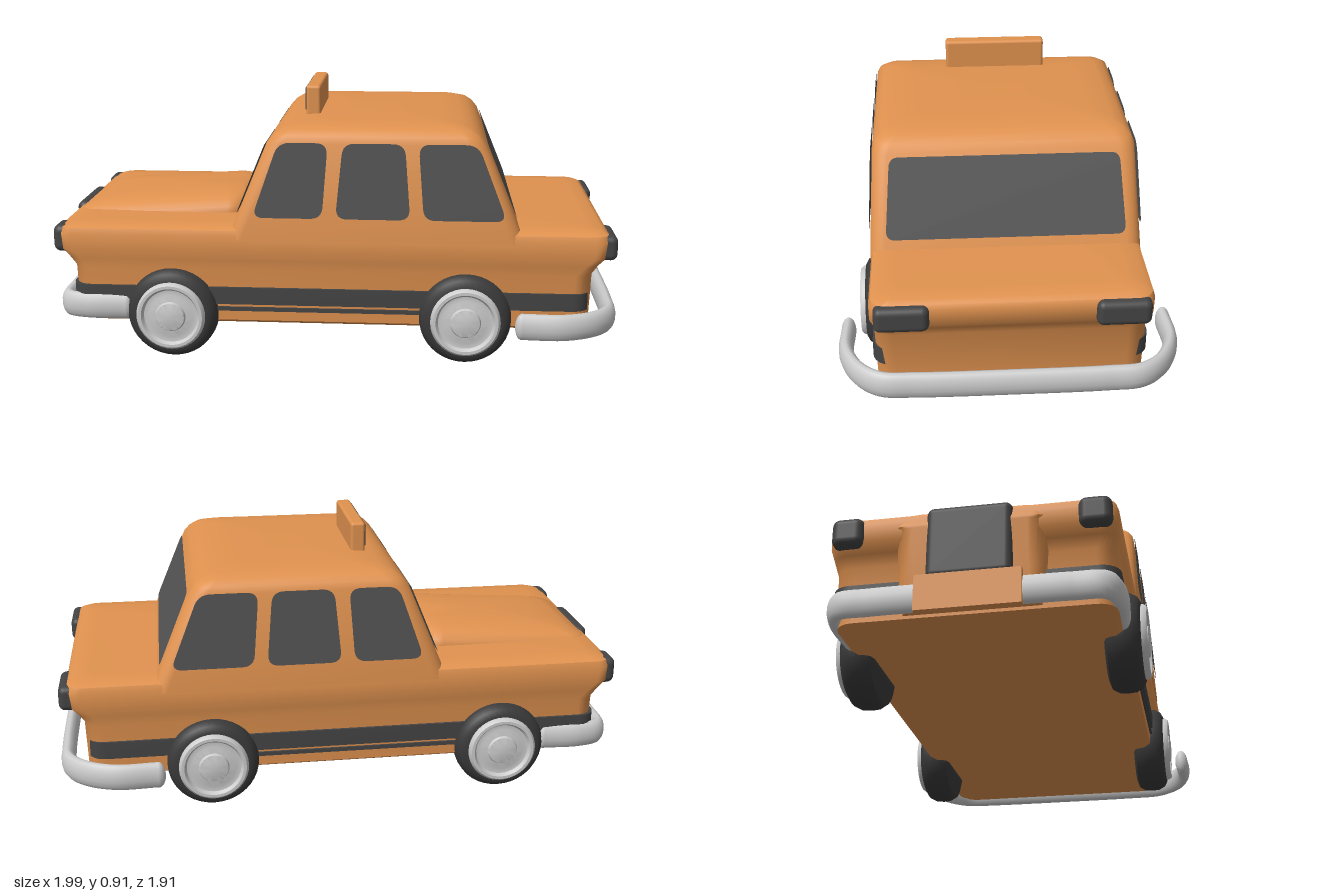
import * as THREE from 'three';
import { toCreasedNormals } from 'three/addons/utils/BufferGeometryUtils.js';
import { RoundedBoxGeometry } from 'three/addons/geometries/RoundedBoxGeometry.js';

const mat = (color, side = THREE.FrontSide) => new THREE.MeshStandardMaterial({ color, side });

// Solid from rounded-rectangle layers: [y, half width, front z, rear z, corner radius]
function stack(layers, bend = (x, y, z) => y) {
  const S = 6, N = 4 * (S + 1), pos = [], idx = [];
  for (const [y, w, f, b, r] of layers) {
    for (let q = 0; q < 4; q++) for (let k = 0; k <= S; k++) {
      const a = (q + k / S) * Math.PI / 2;
      const x = (q === 0 || q === 3 ? w - r : r - w) + r * Math.cos(a);
      const z = (q < 2 ? f - r : b + r) + r * Math.sin(a);
      pos.push(x, bend(x, y, z), z);
    }
  }
  const L = layers.length;
  for (let i = 0; i < L - 1; i++) for (let j = 0; j < N; j++) {
    const a = i * N + j, n = i * N + (j + 1) % N;
    idx.push(a, a + N, n, n, a + N, n + N);
  }
  for (const i of [0, L - 1]) {
    const [y, , f, b] = layers[i], c = pos.length / 3, z = (f + b) / 2;
    pos.push(0, bend(0, y, z), z);
    for (let j = 0; j < N; j++) {
      const a = i * N + j, n = i * N + (j + 1) % N;
      if (i) idx.push(c, n, a); else idx.push(c, a, n);
    }
  }
  const g = new THREE.BufferGeometry();
  g.setAttribute('position', new THREE.Float32BufferAttribute(pos, 3));
  g.setIndex(idx);
  return toCreasedNormals(g, 0.75);
}

// Polygon with rounded corners, laid onto a surface by a rule
function pane(pts, r, place) {
  const s = new THREE.Shape(), v = pts.map(p => new THREE.Vector2(...p)), n = v.length;
  v.forEach((p, i) => {
    const toward = q => p.clone().add(q.clone().sub(p).setLength(r));
    const a = toward(v[(i + n - 1) % n]), b = toward(v[(i + 1) % n]);
    if (i) s.lineTo(a.x, a.y); else s.moveTo(a.x, a.y);
    s.quadraticCurveTo(p.x, p.y, b.x, b.y);
  });
  s.closePath();
  const g = new THREE.ShapeGeometry(s, 6), P = g.attributes.position;
  for (let i = 0; i < P.count; i++) P.setXYZ(i, ...place(P.getX(i), P.getY(i)));
  g.computeVertexNormals();
  return g;
}

export function createModel() {
  const model = new THREE.Group(), car = new THREE.Group();
  model.name = 'taxi';
  car.name = 'car';
  car.rotation.y = -0.849;
  model.add(car);

  const paint = mat(0xe0924f), dark = mat(0x444444), rubber = mat(0x3a3a3a);
  const glass = mat(0x545454, THREE.DoubleSide), chrome = mat(0xcccccc);
  const add = (name, geo, m, x = 0, y = 0, z = 0, parent = car) => {
    const o = new THREE.Mesh(geo, m);
    o.name = name;
    o.position.set(x, y, z);
    parent.add(o);
    return o;
  };

  // Lower body, overhanging at nose and tail
  add('body', stack([
    [0.115, 0.40, 0.86, -0.83, 0.05], [0.13, 0.425, 0.895, -0.865, 0.06],
    [0.31, 0.43, 0.90, -0.87, 0.06], [0.345, 0.435, 0.92, -0.89, 0.05],
    [0.375, 0.44, 0.945, -0.918, 0.05], [0.43, 0.44, 0.95, -0.925, 0.05],
    [0.45, 0.434, 0.943, -0.918, 0.05], [0.46, 0.415, 0.92, -0.90, 0.05],
    [0.464, 0.36, 0.87, -0.85, 0.05],
  ]), paint);

  // Cabin with sloping ends and rounded roof
  add('cabin', stack([
    [0.42, 0.444, 0.364, -0.639, 0.05], [0.75, 0.428, 0.227, -0.502, 0.05],
    [0.775, 0.418, 0.205, -0.482, 0.05], [0.793, 0.398, 0.178, -0.457, 0.05],
    [0.804, 0.365, 0.14, -0.42, 0.05], [0.81, 0.28, 0.06, -0.34, 0.05],
  ]), paint);

  // Hood and nose, dropping toward the front
  const drop = (x, y, z) => y > 0.43 ? y - 0.13 * Math.max(0, z - 0.36) ** 2 : y;
  add('hood', stack([
    [0.14, 0.21, 0.925, 0.33, 0.04], [0.25, 0.225, 0.94, 0.33, 0.05],
    [0.40, 0.235, 0.957, 0.33, 0.06], [0.455, 0.25, 0.957, 0.33, 0.06],
    [0.485, 0.243, 0.945, 0.33, 0.06], [0.507, 0.22, 0.92, 0.335, 0.06],
    [0.52, 0.175, 0.87, 0.34, 0.06], [0.526, 0.10, 0.78, 0.36, 0.06],
  ], drop), paint);

  // Dark trim around the sides and front, thin line on the sill
  add('sideTrim', stack([
    [0.19, 0.437, 0.906, -0.862, 0.06], [0.25, 0.437, 0.906, -0.862, 0.06],
  ]), dark);
  add('sillLine', new THREE.BoxGeometry(0.866, 0.014, 0.72), dark, 0, 0.172, 0.055);

  // Side windows
  const windows = [
    [[0.275, 0.5], [0.04, 0.5], [0.02, 0.755], [0.185, 0.755]],
    [[-0.005, 0.5], [-0.255, 0.5], [-0.235, 0.755], [-0.03, 0.755]],
    [[-0.30, 0.5], [-0.575, 0.5], [-0.475, 0.755], [-0.28, 0.755]],
  ];
  for (const s of [1, -1]) windows.forEach(w => add('sideWindow',
    pane(w, 0.04, (z, y) => [s * (0.449 - 0.0485 * (y - 0.42)), y, z]), glass));

  // Split windshield and rear window
  for (const s of [1, -1]) add('windshield',
    pane([[0.065, 0.5], [0.392, 0.5], [0.385, 0.735], [0.065, 0.735]], 0.015,
      (x, y) => [s * x, y, 0.369 - 0.415 * (y - 0.42)]), glass);
  add('rearWindow', pane([[-0.39, 0.495], [0.39, 0.495], [0.372, 0.742], [-0.372, 0.742]], 0.03,
    (x, y) => [x, y, -0.644 + 0.415 * (y - 0.42)]), glass);

  // Grille and number plate
  add('grille', new RoundedBoxGeometry(0.26, 0.24, 0.05, 4, 0.022), dark, 0, 0.343, 0.94);
  add('frontPlate', new THREE.BoxGeometry(0.32, 0.115, 0.02), paint, 0, 0.177, 0.957);

  // Lamps
  for (const s of [1, -1]) {
    add('headlight', new RoundedBoxGeometry(0.10, 0.095, 0.07, 4, 0.025), dark, s * 0.375, 0.407, 0.932);
    add('tailLight', new RoundedBoxGeometry(0.17, 0.085, 0.07, 4, 0.022), dark, s * 0.34, 0.407, -0.912);
  }

  // Bumpers: flattened tubes with round ends, mirrored from one half
  const bumper = (name, half, r, y) => {
    const g = new THREE.Group();
    g.name = name;
    const pts = [...half.map(([x, z]) => [x, z]),
      ...half.slice(0, -1).reverse().map(([x, z]) => [-x, z])]
      .map(([x, z]) => new THREE.Vector3(x, 0, z));
    const curve = new THREE.CatmullRomCurve3(pts, false, 'centripetal');
    add('bar', new THREE.TubeGeometry(curve, 90, r, 14), chrome, 0, 0, 0, g);
    for (const p of [pts[0], pts[pts.length - 1]])
      add('barEnd', new THREE.SphereGeometry(r, 14, 10), chrome, p.x, 0, p.z, g);
    g.scale.y = 0.046 / r;
    g.position.y = y;
    car.add(g);
  };
  bumper('frontBumper', [[0.425, 0.72], [0.428, 0.85], [0.40, 0.925], [0.3, 0.935], [0, 0.935]], 0.024, 0.173);
  bumper('rearBumper', [[0.525, -0.63], [0.525, -0.77], [0.48, -0.87], [0.41, -0.925], [0.3, -0.935], [0, -0.938]], 0.024, 0.165);

  // Wheels: lathe profiles [radius, distance outward]
  const lathe = pts => toCreasedNormals(
    new THREE.LatheGeometry(pts.map(p => new THREE.Vector2(...p)), 40), 0.7);
  const tyre = lathe([[0, 0], [0.12, 0], [0.143, 0.008], [0.155, 0.03], [0.157, 0.055],
    [0.155, 0.08], [0.143, 0.102], [0.125, 0.112], [0.105, 0.112], [0, 0.1]]);
  const hub = lathe([[0.118, 0.105], [0.118, 0.12], [0.110, 0.130], [0.100, 0.130], [0.092, 0.118],
    [0.075, 0.116], [0.06, 0.122], [0.052, 0.122], [0.048, 0.130], [0.03, 0.135], [0, 0.136]]);
  for (const s of [1, -1]) for (const z of [0.555, -0.445]) {
    const w = new THREE.Group();
    w.name = z > 0 ? 'frontWheel' : 'rearWheel';
    add('tyre', tyre, rubber, 0, 0, 0, w);
    add('hubcap', hub, chrome, 0, 0, 0, w);
    w.rotation.z = -s * Math.PI / 2;
    w.position.set(s * 0.36, 0.157, z);
    car.add(w);
  }

  // Roof sign with dark front panel
  add('roofSign', new RoundedBoxGeometry(0.35, 0.11, 0.05, 3, 0.01), paint, 0, 0.851, 0.09);
  add('signPanel', new RoundedBoxGeometry(0.315, 0.08, 0.012, 2, 0.005), dark, 0, 0.857, 0.114);

  return model;
}
